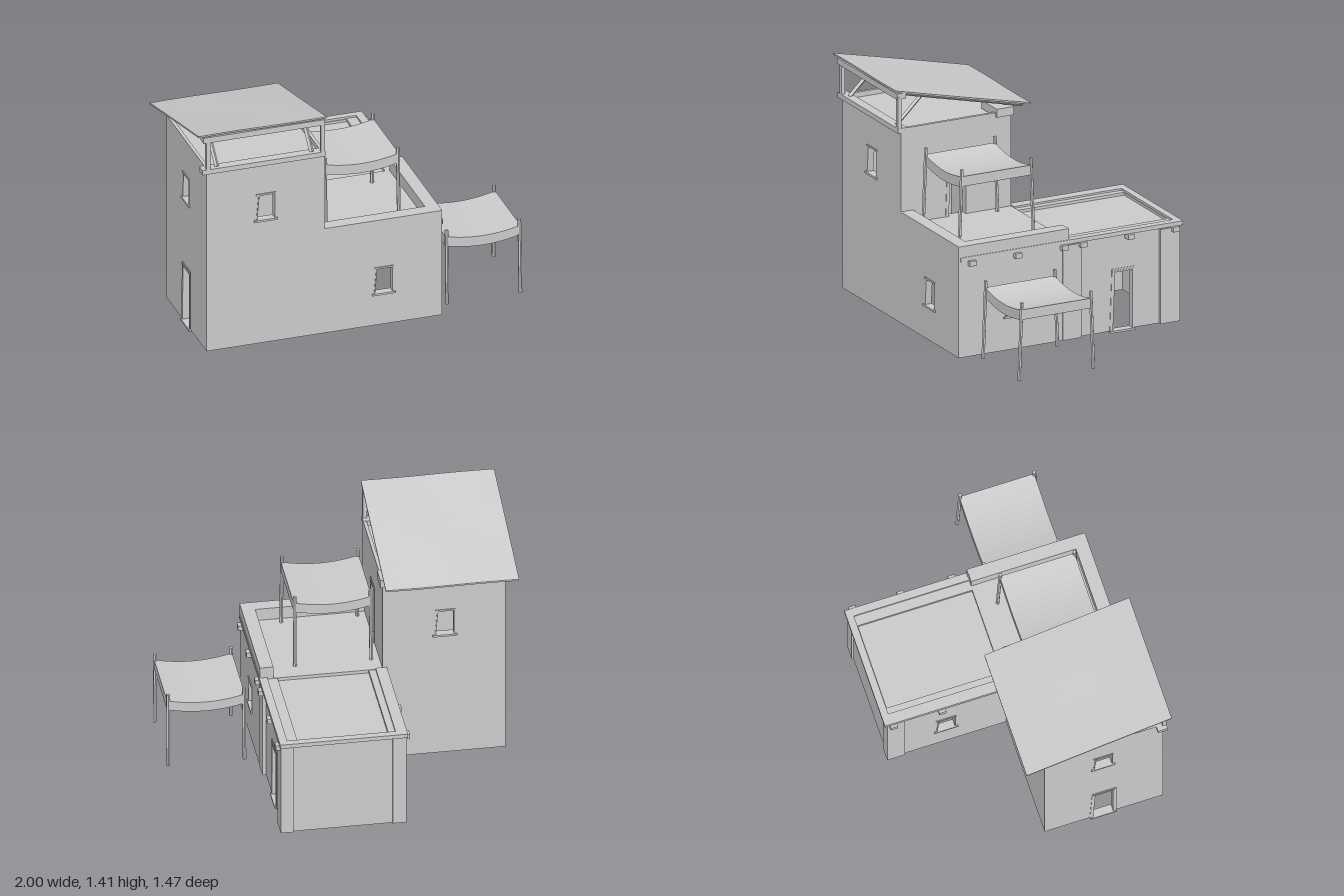
import * as THREE from 'three';

const mat = new THREE.MeshStandardMaterial({ color: 0xcccccc, flatShading: true, side: THREE.DoubleSide });

function add(parent, name, geo) {
  const m = new THREE.Mesh(geo, mat);
  m.name = name;
  parent.add(m);
  return m;
}

// Box given by its limits on each axis
function block(parent, name, x0, x1, y0, y1, z0, z1) {
  const m = add(parent, name, new THREE.BoxGeometry(x1 - x0, y1 - y0, z1 - z0));
  m.position.set((x0 + x1) / 2, (y0 + y1) / 2, (z0 + z1) / 2);
}

// Straight timber between two points
function pole(parent, name, a, b, r, sides = 6) {
  const p = new THREE.Vector3(...a), q = new THREE.Vector3(...b);
  const m = add(parent, name, new THREE.CylinderGeometry(r, r, p.distanceTo(q), sides));
  m.position.copy(p).add(q).multiplyScalar(0.5);
  m.quaternion.setFromUnitVectors(new THREE.Vector3(0, 1, 0), q.sub(p).normalize());
}

// Outline of a door or window with one leaning jamb, enlarged by e
function opening({ u, y, w, h }, e) {
  const b = w / 2 + e;
  return [[u - b, y], [u + b, y], [u + b, y + h + e], [u - b + 0.014, y + h + e]].map(p => new THREE.Vector2(...p));
}

function slab(shape, depth, front) {
  return new THREE.ExtrudeGeometry(shape, { depth, bevelEnabled: false }).translate(0, 0, front - depth);
}

// Wall with open windows and doors, each with jambs, lintel and sill
function wall(parent, name, outline, openings, x, z, turn) {
  const g = new THREE.Group();
  g.name = name;
  g.position.set(x, 0, z);
  g.rotation.y = turn;
  parent.add(g);
  const shape = new THREE.Shape(outline.map(p => new THREE.Vector2(...p)));
  for (const o of openings) {
    const { u, y, w, h, kind, rim } = o;
    shape.holes.push(new THREE.Path(opening(o, 0)));
    const ring = new THREE.Shape(opening(o, rim));
    ring.holes.push(new THREE.Path(opening(o, 0)));
    add(g, kind + 'Frame', slab(ring, 0.04, 0.003));
    const s = w / 2 + 0.018;
    block(g, kind + 'Sill', u - s, u + s, y - 0.012, y, -0.04, 0.01);
    block(g, kind + 'Lintel', u - s + 0.012, u + s - 0.01, y + h, y + h + 0.01, -0.04, 0.006);
  }
  add(g, name + 'Face', slab(shape, 0.02, 0));
}

const rect = (u0, u1, y0, y1) => [[u0, y0], [u1, y0], [u1, y1], [u0, y1]];
const windowAt = (u, y) => ({ u, y, w: 0.105, h: 0.155, kind: 'window', rim: 0.006 });
const doorAt = (u, y, w) => ({ u, y, w, h: 0.35, kind: 'door', rim: 0.02 });

// Sagging cloth with a hanging edge on four leaning posts
function awning(parent, name, x, z, base, top) {
  const g = new THREE.Group();
  g.name = name;
  g.position.set(x, 0, z);
  parent.add(g);
  const geo = new THREE.BoxGeometry(0.45, 0.06, 0.45, 10, 1, 4);
  const under = geo.groups[3];
  geo.setIndex([...geo.index.array].filter((_, i) => i < under.start || i >= under.start + under.count));
  geo.clearGroups();
  const p = geo.attributes.position;
  for (let i = 0; i < p.count; i++) {
    const t = p.getX(i) / 0.225;
    p.setY(i, p.getY(i) + top - 0.07 - 0.03 * (1 - t * t));
  }
  geo.computeVertexNormals();
  add(g, 'cloth', geo);
  for (const sx of [-1, 1]) for (const sz of [-1, 1])
    pole(g, 'awningPost', [sx * 0.22, base, sz * 0.239], [sx * 0.219, top, sz * 0.222], 0.011);
}

export function createModel() {
  const model = new THREE.Group();
  model.name = 'adobeHouse';
  const B = 0.012, Q = Math.PI / 2;

  // Roof decks over the hollow rooms
  block(model, 'towerDeck', -0.925, -0.245, 1.135, 1.15, 0.0, 0.685);
  block(model, 'terraceDeck', -0.24, 0.46, 0.59, 0.605, 0.0, 0.685);
  block(model, 'wingDeck', -0.225, 0.445, 0.57, 0.585, -0.705, 0.005);

  // Outer walls
  wall(model, 'frontWall',
    [[-0.94, B], [0.475, B], [0.475, 0.68], [-0.23, 0.68], [-0.23, 1.18], [-0.94, 1.18]],
    [windowAt(-0.583, 0.802), windowAt(0.125, 0.215)], 0, 0.7, 0);
  wall(model, 'towerLeftWall', rect(-0.7, 0.01, 0.58, 1.18), [doorAt(-0.338, 0.605, 0.11)], -0.23, 0, Q);
  wall(model, 'towerRightWall', rect(-0.01, 0.7, B, 1.18),
    [windowAt(0.34, 0.802), doorAt(0.34, B + 0.001, 0.12)], -0.94, 0, -Q);
  wall(model, 'towerBackWall', rect(0.23, 0.94, B, 1.18), [windowAt(0.59, 0.802)], 0, -0.01, Math.PI);
  wall(model, 'terraceSideWall', rect(-0.7, 0.01, B, 0.68), [windowAt(-0.34, 0.215)], 0.475, 0, Q);
  wall(model, 'wingLeftWall', rect(-0.02, 0.715, B, 0.6), [doorAt(0.365, B + 0.001, 0.125)], 0.455, 0, Q);
  wall(model, 'wingRightWall', rect(-0.715, 0, B, 0.6), [windowAt(-0.37, 0.215)], -0.238, 0, -Q);
  wall(model, 'wingBackWall', rect(-0.455, 0.238, B, 0.6), [], 0, -0.715, Math.PI);

  // Wall piers
  block(model, 'middlePier', 0.42, 0.477, B, 0.58, -0.09, 0.03);
  block(model, 'backLeftPier', 0.4, 0.476, B, 0.58, -0.725, -0.6);
  block(model, 'backRightPier', -0.248, -0.17, B, 0.58, -0.725, -0.62);

  // Terrace parapet
  block(model, 'frontParapet', -0.235, 0.474, 0.585, 0.68, 0.62, 0.698);
  block(model, 'sideParapet', 0.4, 0.478, 0.585, 0.68, -0.008, 0.698);
  block(model, 'terraceStep', -0.23, 0.4, 0.585, 0.605, -0.01, 0.01);

  // Roof edging, stepped along the wing
  block(model, 'rimLeft', 0.435, 0.482, 0.588, 0.613, -0.74, 0.69);
  block(model, 'rimRight', -0.255, -0.19, 0.588, 0.613, -0.74, -0.008);
  block(model, 'rimBack', -0.255, 0.482, 0.588, 0.613, -0.742, -0.7);
  block(model, 'innerRimLeft', 0.375, 0.436, 0.575, 0.602, -0.705, -0.008);
  block(model, 'innerRimRight', -0.191, -0.15, 0.575, 0.602, -0.705, -0.008);

  // Protruding roof beams
  for (const z of [0.62, 0.325, 0.025, -0.095, -0.4, -0.69])
    block(model, 'beamEnd', 0.43, 0.503, 0.56, 0.59, z - 0.021, z + 0.021);
  for (const z of [-0.4, -0.69])
    block(model, 'beamEnd', -0.272, -0.2, 0.56, 0.59, z - 0.021, z + 0.021);

  // Tower top timbers
  block(model, 'frontPlate', -0.97, -0.23, 1.152, 1.182, 0.66, 0.718);
  block(model, 'rearBlock', -0.4, -0.215, 1.155, 1.205, -0.022, 0.09);
  block(model, 'ridgeBeam', -0.965, -0.235, 1.355, 1.39, 0.665, 0.722);
  for (const s of [-1, 1]) {
    const post = -0.59 + s * 0.345, brace = -0.59 + s * 0.285;
    block(model, 'roofPost', post - 0.012, post + 0.012, 1.17, 1.37, 0.695, 0.718);
    pole(model, 'roofBrace', [brace, 1.18, 0.69], [brace, 1.335, 0.53], 0.013, 4);
    pole(model, 'rafter', [post, 1.392, 0.71], [post, 1.198, -0.09], 0.01, 4);
  }

  // Sloping, slightly warped roof sheet
  const roof = new THREE.BoxGeometry(0.77, 0.01, 0.87, 8, 1, 8);
  const p = roof.attributes.position;
  for (let i = 0; i < p.count; i++) {
    const x = p.getX(i), z = p.getZ(i);
    const wave = 0.003 * Math.sin(x * 9) * Math.cos(z * 5);
    p.setXYZ(i, x - 0.613, p.getY(i) + 1.304 + z * 0.238 + wave, z + 0.298);
  }
  roof.computeVertexNormals();
  add(model, 'shedRoof', roof);

  // Shade awnings
  awning(model, 'terraceAwning', 0.037, 0.342, 0.605, 1.058);
  awning(model, 'yardAwning', 0.768, 0.342, B, 0.476);

  return model;
}
